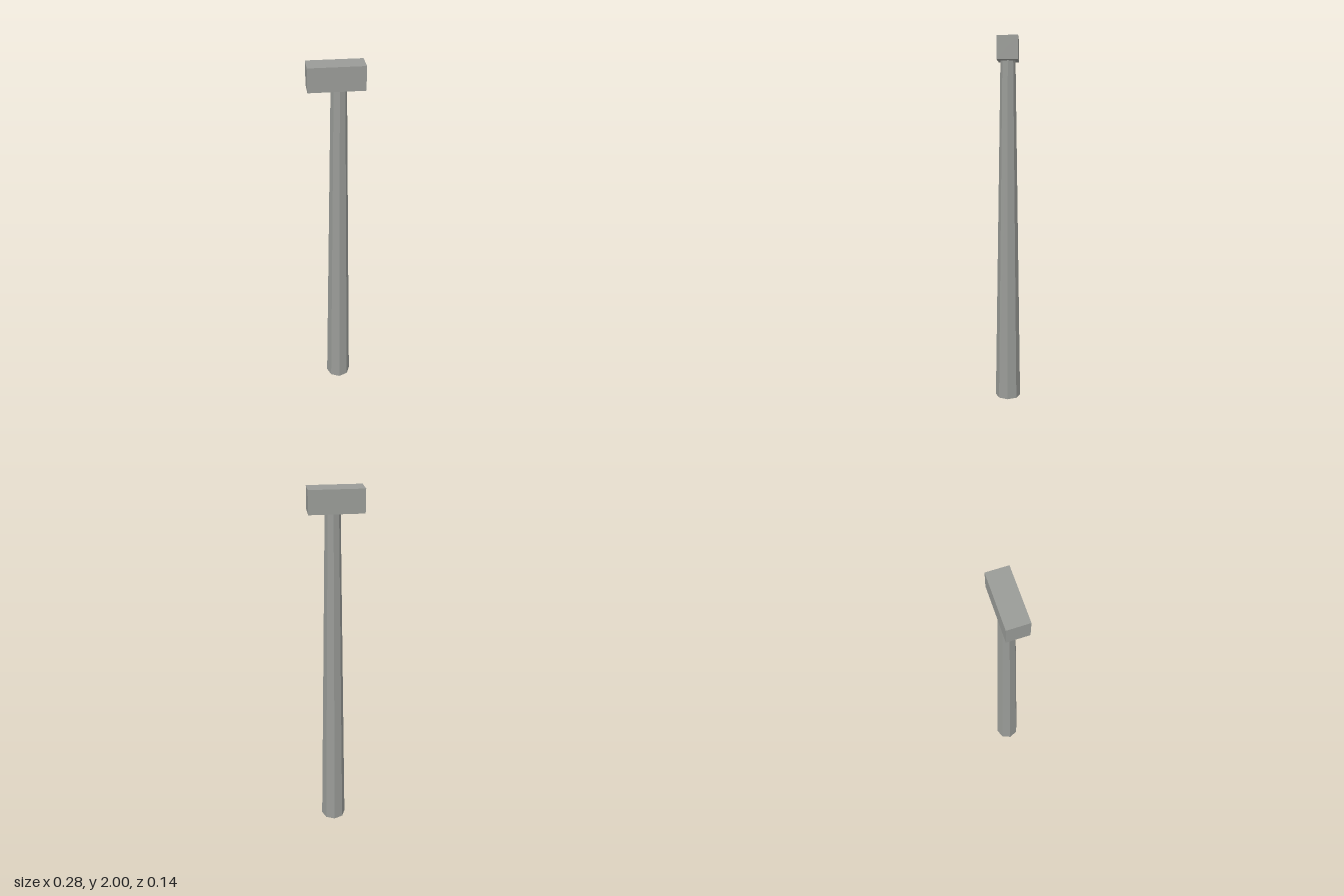
import * as THREE from 'three';

export function createModel() {
  const model = new THREE.Group();
  const grey = new THREE.MeshStandardMaterial({ color: 0x999b97 });
  grey.name = 'stoneGrey';
  grey.flatShading = true;

  const add = (name, geometry, x, y, z) => {
    const mesh = new THREE.Mesh(geometry, grey);
    mesh.name = name;
    mesh.position.set(x, y, z);
    model.add(mesh);
  };

  // Tapered eight-sided shaft, set slightly off centre under the cap
  add('shaft', new THREE.CylinderGeometry(0.04, 0.07, 1.88, 8), 0.015, 0.94, -0.001);

  // Rectangular block on top
  add('capBlock', new THREE.BoxGeometry(0.281, 0.12, 0.11), 0, 1.94, -0.001);

  return model;
}
